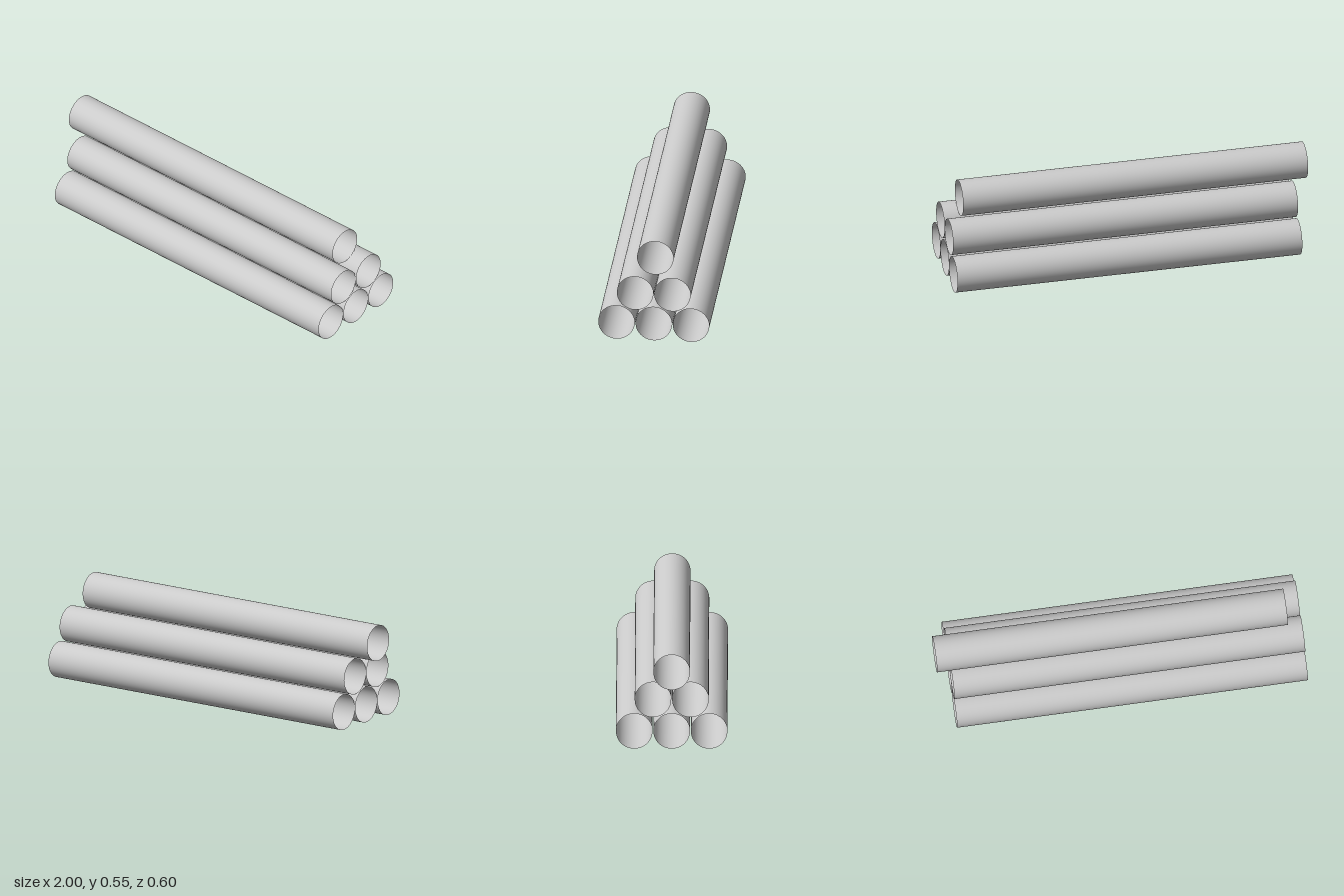
import * as THREE from 'three';

const RADIUS = 0.099;
const LENGTH = 1.92;
const SPACING = 0.203; // centre to centre within a row
const ROW_RISE = 0.178; // centre to centre between rows
const OFFSET = 1 - LENGTH / 2; // lengthwise shift of each row

export function createModel() {
  const group = new THREE.Group();
  group.name = 'pipeStack';

  // thin open tube lying along x
  const tube = new THREE.CylinderGeometry(RADIUS, RADIUS, LENGTH, 64, 1, true);
  tube.rotateZ(Math.PI / 2);
  const material = new THREE.MeshStandardMaterial({ color: 0xcccccc, side: THREE.DoubleSide });

  // pyramid of three, two and one pipes; the top one is slid to the right
  const rows = [
    { name: 'bottomPipe', count: 3, x: OFFSET },
    { name: 'middlePipe', count: 2, x: OFFSET },
    { name: 'topPipe', count: 1, x: -OFFSET },
  ];
  rows.forEach(({ name, count, x }, row) => {
    for (let i = 0; i < count; i++) {
      const pipe = new THREE.Mesh(tube, material);
      pipe.name = count > 1 ? `${name}${i + 1}` : name;
      pipe.position.set(x, RADIUS + row * ROW_RISE, (i - (count - 1) / 2) * SPACING);
      group.add(pipe);
    }
  });
  return group;
}
